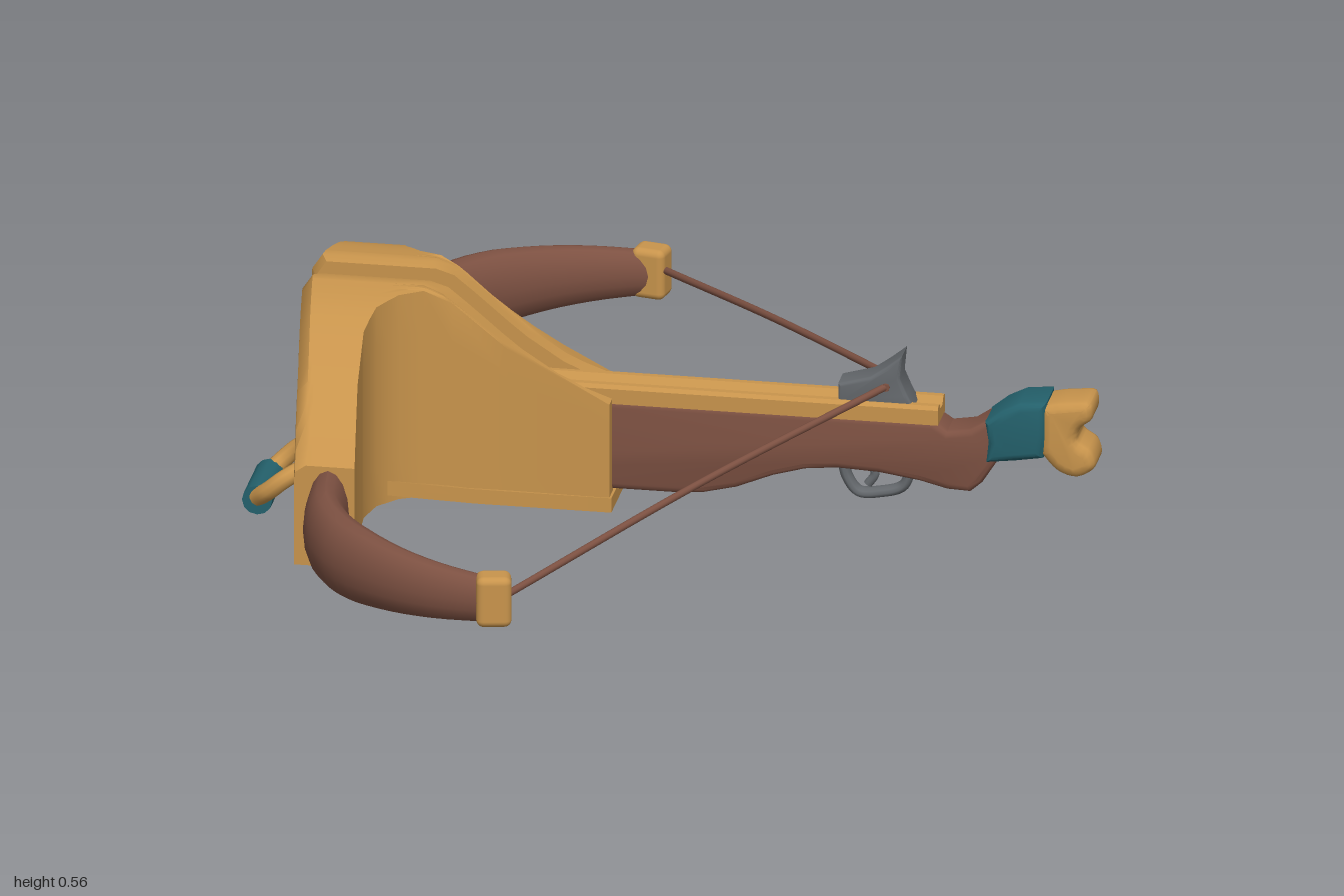
import * as THREE from 'three';
import { toCreasedNormals } from 'three/addons/utils/BufferGeometryUtils.js';
import { RoundedBoxGeometry } from 'three/addons/geometries/RoundedBoxGeometry.js';

const material = (name, color) => {
  const m = new THREE.MeshStandardMaterial({ color });
  m.name = name;
  return m;
};

// Piecewise linear lookup in a list of [key, value] pairs
function lookup(table, k) {
  for (let i = 1; i < table.length; i++) {
    const [a, va] = table[i - 1], [b, vb] = table[i];
    if (k <= b) return va + (vb - va) * Math.max(0, (k - a) / (b - a));
  }
  return table[table.length - 1][1];
}

// Skin a list of rings (each counterclockwise seen from the direction of travel), with caps
function loft(rings) {
  const n = rings[0].length, pos = [], idx = [];
  rings.forEach(r => r.forEach(p => pos.push(p.x, p.y, p.z)));
  for (let i = 0; i < rings.length - 1; i++) {
    for (let j = 0; j < n; j++) {
      const k = (j + 1) % n, a = i * n + j, b = i * n + k;
      idx.push(a, b, b + n, a, b + n, a + n);
    }
  }
  [0, rings.length - 1].forEach((r, end) => {
    const c = new THREE.Vector3();
    rings[r].forEach(p => c.addScaledVector(p, 1 / n));
    const ci = pos.length / 3;
    pos.push(c.x, c.y, c.z);
    for (let j = 0; j < n; j++) {
      const a = r * n + j, b = r * n + (j + 1) % n;
      idx.push(ci, ...(end ? [a, b] : [b, a]));
    }
  });
  const g = new THREE.BufferGeometry();
  g.setAttribute('position', new THREE.Float32BufferAttribute(pos, 3));
  g.setIndex(idx);
  return toCreasedNormals(g, 0.75);
}

// Side outline extruded across z with rounded edges
function slab(points, halfZ, bevel, smooth = false) {
  const v = points.map(p => new THREE.Vector2(...p));
  const shape = new THREE.Shape(smooth ? new THREE.SplineCurve([...v, v[0]]).getPoints(48).slice(0, -1) : v);
  const depth = 2 * (halfZ - bevel);
  const g = new THREE.ExtrudeGeometry(shape, {
    depth, bevelEnabled: bevel > 0, bevelSize: bevel, bevelThickness: bevel, bevelOffset: -bevel, bevelSegments: 3,
  });
  return toCreasedNormals(g.translate(0, 0, -depth / 2), 0.7);
}

const TOP = [[0.03, 0.55], [0.07, 0.56], [0.14, 0.55], [0.2, 0.535], [0.25, 0.51], [0.38, 0.44], [0.46, 0.38], [0.54, 0.31]];
const WING = [[-0.54, 0.56], [-0.49, 0.54], [-0.44, 0.5], [-0.34, 0.415], [-0.24, 0.35], [-0.13, 0.31]];
const REAR = [[0.035, -0.13], [0.08, -0.13], [0.083, -0.35], [0.09, -0.47], [0.105, -0.53], [0.13, -0.58],
  [0.18, -0.62], [0.25, -0.635], [0.38, -0.625], [0.54, -0.603]];
const FRONT = [[0.03, -0.79], [0.06, -0.805], [0.2, -0.785], [0.54, -0.735]];

// Cross-section of the bow shield at distance z from the middle
function shieldRing(z, side) {
  const x1 = lookup(REAR, z), xf = lookup(FRONT, z), top = lookup(TOP, z), base = 0.08, pts = [];
  const slope = 0.06 * Math.max(0, 1 - z / 0.5);
  const frontX = y => {
    const t = (y - base) / (top - base);
    const dent = 0.03 * Math.exp(-(((z - 0.24) / 0.08) ** 2) - ((y - 0.28) / 0.08) ** 2);
    return xf + slope * (1 - t) ** 2 + dent + 0.025 * Math.max(0, (t - 0.9) / 0.1) ** 2;
  };
  const topY = x => Math.min(top, lookup(WING, x));
  const add = (x, y) => pts.push(new THREE.Vector3(x, y, side * z));
  const mix = THREE.MathUtils.lerp, xb = frontX(base), xt = frontX(top);
  for (let i = 0; i < 6; i++) add(mix(xb, x1, i / 6), base);
  for (let i = 0; i < 5; i++) add(x1, mix(base, topY(x1), i / 5));
  for (let i = 0; i < 16; i++) add(mix(x1, xt, i / 16), topY(mix(x1, xt, i / 16)));
  for (let i = 0; i < 14; i++) { const y = mix(top, base, i / 14); add(frontX(y), y); }
  return pts;
}

export function createModel() {
  const model = new THREE.Group();
  model.name = 'crossbow';
  const tan = material('tan bone', 0xc8944c), brown = material('brown wood', 0x7d5142);
  const teal = material('teal wrap', 0x24616c), grey = material('grey metal', 0x64686c);
  const add = (name, geometry, mat, x = 0, y = 0, z = 0) => {
    const m = new THREE.Mesh(geometry, mat);
    m.name = name;
    m.position.set(x, y, z);
    model.add(m);
    return m;
  };
  const tube = (pts, r, closed = false) => new THREE.TubeGeometry(
    new THREE.CatmullRomCurve3(pts.map(p => new THREE.Vector3(...p)), closed), 32, r, 10, closed);

  // Stock and butt
  add('stock', slab([[-0.74, 0.1], [0, 0.1], [0.07, 0.105], [0.14, 0.122], [0.22, 0.155], [0.29, 0.175], [0.36, 0.182],
    [0.45, 0.178], [0.54, 0.165], [0.6, 0.15], [0.65, 0.148], [0.675, 0.17], [0.71, 0.225], [0.73, 0.31], [0.69, 0.32],
    [0.65, 0.293], [0.6, 0.285], [0.57, 0.305], [-0.74, 0.305]], 0.047, 0.015), brown);
  add('buttWrap', slab([[0.685, 0.222], [0.75, 0.23], [0.81, 0.24], [0.82, 0.3], [0.818, 0.37], [0.76, 0.365], [0.72, 0.345],
    [0.683, 0.315], [0.69, 0.27]], 0.06, 0.018), teal);
  add('buttKnuckle', slab([[0.805, 0.25], [0.84, 0.212], [0.885, 0.2], [0.922, 0.225], [0.915, 0.262], [0.885, 0.285],
    [0.89, 0.312], [0.915, 0.335], [0.912, 0.372], [0.87, 0.372], [0.825, 0.365], [0.805, 0.35]], 0.057, 0.022, true), tan);

  // Grooved rail on top of the stock
  const section = new THREE.Shape([[-0.045, 0.298], [0.045, 0.298], [0.045, 0.332], [0.038, 0.34], [0.024, 0.34], [0.012, 0.325],
    [-0.012, 0.325], [-0.024, 0.34], [-0.038, 0.34], [-0.045, 0.332]].map(p => new THREE.Vector2(...p)));
  add('rail', new THREE.ExtrudeGeometry(section, { depth: 1.33, bevelEnabled: false }).rotateY(Math.PI / 2), tan, -0.75);

  // Latch, trigger and guard
  add('latch', slab([[0.36, 0.33], [0.525, 0.33], [0.51, 0.36], [0.495, 0.395], [0.5, 0.448], [0.465, 0.42], [0.43, 0.395],
    [0.36, 0.375]], 0.035, 0.008), grey);
  add('triggerGuard', tube([[0.365, 0.19, 0], [0.375, 0.15, 0], [0.4, 0.118, 0], [0.45, 0.12, 0], [0.495, 0.135, 0],
    [0.508, 0.16, 0], [0.505, 0.19, 0]], 0.012).scale(1, 1, 1.6), grey);
  add('trigger', tube([[0.425, 0.19, 0], [0.435, 0.16, 0], [0.42, 0.135, 0]], 0.01), grey);

  // Plate beneath the fore-end, flaring and lifting towards the front
  const plate = [[-0.6, 0.155, 0.035], [-0.52, 0.12, 0.018], [-0.42, 0.095, 0.005], [-0.125, 0.083, 0]].map(([x, w, lift]) =>
    [[-w, 0.062 + lift], [-0.05, 0.062], [0.05, 0.062], [w, 0.062 + lift], [w, 0.095 + lift], [0.05, 0.095], [-0.05, 0.095],
      [-w, 0.095 + lift]].map(([z, y]) => new THREE.Vector3(x, y, -z)));
  add('underPlate', loft(plate), tan);

  // Front stirrup
  add('stirrupMount', new RoundedBoxGeometry(0.06, 0.06, 0.08, 2, 0.01), grey, -0.78, 0.125);
  add('stirrupGrip', toCreasedNormals(new THREE.CylinderGeometry(0.033, 0.033, 0.16, 12).rotateX(Math.PI / 2), 0.7),
    teal, -0.898, 0.035);

  const stations = [0.035, 0.06, 0.08, 0.083, 0.09, 0.105, 0.13, 0.155, 0.18, 0.215, 0.25, 0.285, 0.33, 0.38, 0.42, 0.46, 0.5, 0.54];
  for (const side of [1, -1]) {
    const hand = side > 0 ? 'left' : 'right';

    // Shield half with its wing along the stock
    const rings = stations.map(z => shieldRing(z, side));
    add(hand + 'Shield', loft(side > 0 ? rings : rings.reverse()), tan);

    // Curved limb, tapering to the tip
    const curve = new THREE.CatmullRomCurve3([[-0.665, 0.5], [-0.645, 0.65], [-0.58, 0.77], [-0.47, 0.868], [-0.36, 0.925],
      [-0.22, 0.962]].map(([x, z]) => new THREE.Vector3(x, 0.2, side * z)));
    const limb = [];
    for (let i = 0; i <= 20; i++) {
      const t = i / 20, c = curve.getPointAt(t), d = curve.getTangentAt(t);
      const s = new THREE.Vector3(0, 1, 0).cross(d).normalize();
      const w = lookup([[0, 0.045], [0.4, 0.052], [1, 0.03]], t), h = lookup([[0, 0.103], [0.5, 0.086], [1, 0.05]], t);
      limb.push(Array.from({ length: 16 }, (_, j) => {
        const a = j / 16 * Math.PI * 2;
        return c.clone().addScaledVector(s, w * Math.cos(a)).add(new THREE.Vector3(0, h * Math.sin(a), 0));
      }));
    }
    add(hand + 'Limb', loft(limb), brown);

    // Limb tip and string
    const tip = add(hand + 'Tip', new RoundedBoxGeometry(0.076, 0.115, 0.064, 3, 0.016), tan, -0.224, 0.203, side * 0.961);
    tip.rotation.y = side * 0.2;
    add(hand + 'String', tube([[-0.2, 0.21, side * 0.955], [0.14, 0.305, side * 0.475], [0.465, 0.375, side * 0.03]], 0.008), brown);

    // Stirrup arm
    add(hand + 'StirrupArm', tube([[-0.75, 0.12, side * 0.035], [-0.79, 0.115, side * 0.065], [-0.835, 0.095, side * 0.097],
      [-0.87, 0.065, side * 0.095], [-0.9, 0.038, side * 0.07]], 0.02), tan);
  }
  add('stringCentre', new THREE.CylinderGeometry(0.009, 0.009, 0.08, 8).rotateX(Math.PI / 2), brown, 0.465, 0.375);
  return model;
}
